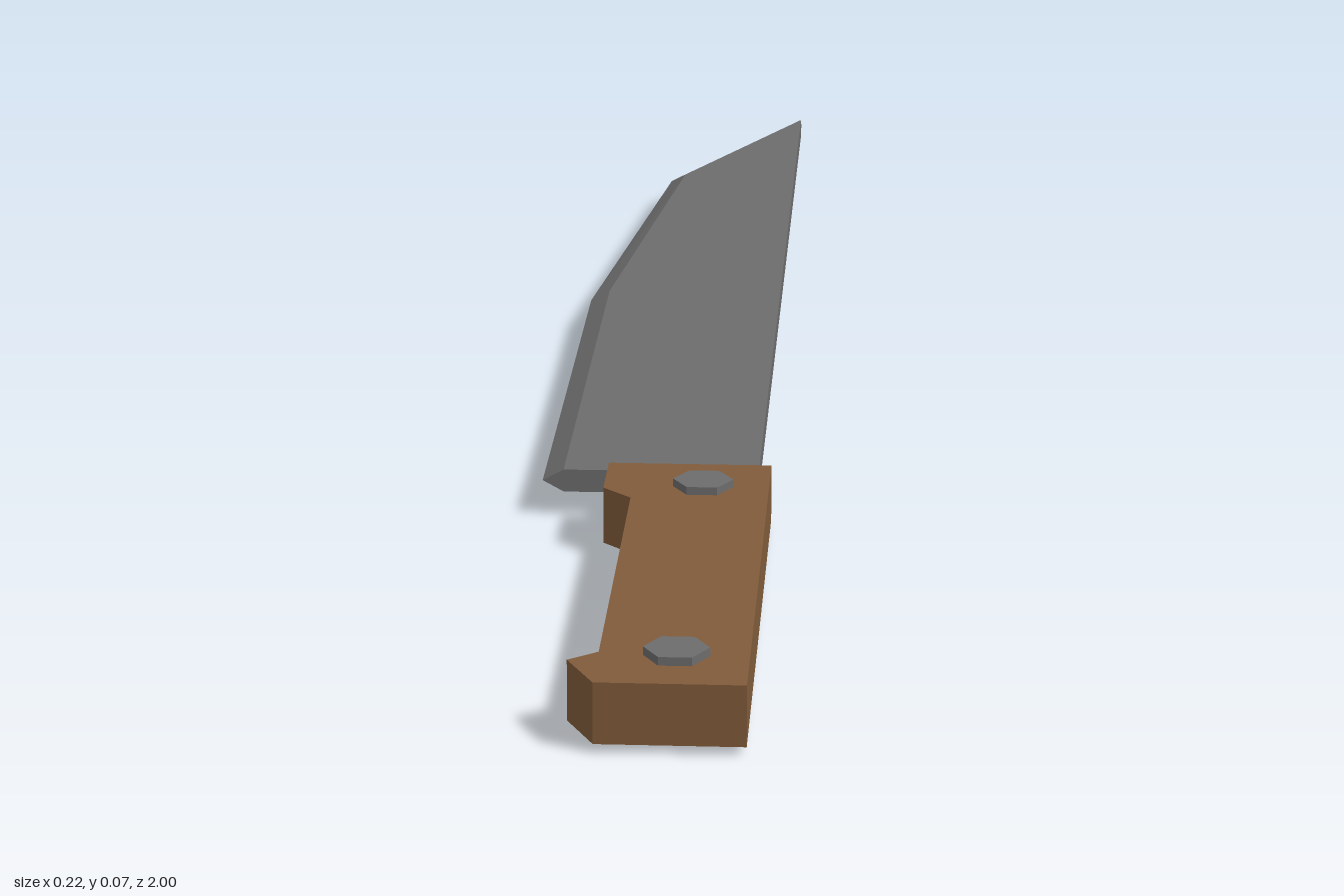
import * as THREE from 'three';

const MID = 0.035; // height of the knife's middle plane
const SPINE = 0.095;
const HALF = 0.011; // half the blade thickness

// Blade lofted from five-sided sections: cutting edge, bevel, flat, spine
function bladeGeometry() {
  // [edge x, edge z, bevel x, bevel z] from heel to tip
  const stations = [
    [-0.11, 0.41, -0.09, 0.41],
    [-0.11, -0.2, -0.09, -0.2],
    [-0.052, -0.715, -0.035, -0.705],
    [SPINE, -1, SPINE - 0.002, -0.98],
  ];
  const rings = stations.map(([ex, ez, bx, bz]) => [
    [ex, MID, ez],
    [bx, MID + HALF, bz],
    [SPINE, MID + HALF, bz],
    [SPINE, MID - HALF, bz],
    [bx, MID - HALF, bz],
  ]);
  const pos = [];
  const tri = (...pts) => pts.forEach((p) => pos.push(...p));
  for (let i = 0; i < rings.length - 1; i++) {
    for (let j = 0; j < 5; j++) {
      const k = (j + 1) % 5;
      const [a, b, c, d] = [rings[i][j], rings[i][k], rings[i + 1][k], rings[i + 1][j]];
      tri(a, b, c);
      tri(a, c, d);
    }
  }
  // Close the heel and the tip
  const heel = rings[0], tip = rings[rings.length - 1];
  for (let k = 1; k < 4; k++) {
    tri(heel[0], heel[k + 1], heel[k]);
    tri(tip[0], tip[k], tip[k + 1]);
  }
  const geo = new THREE.BufferGeometry();
  geo.setAttribute('position', new THREE.Float32BufferAttribute(pos, 3));
  geo.computeVertexNormals();
  return geo;
}

// Flat handle outline (x, z) extruded through its thickness
function handleGeometry() {
  const outline = [
    [-0.045, 0.435], [0.108, 0.435], [0.108, 1], [-0.018, 1],
    [-0.043, 0.95], [-0.018, 0.93], [-0.018, 0.535], [-0.045, 0.508],
  ].map(([x, z]) => new THREE.Vector2(x, z));
  const geo = new THREE.ExtrudeGeometry(new THREE.Shape(outline), { depth: 0.054, bevelEnabled: false });
  geo.rotateX(Math.PI / 2);
  geo.translate(0, MID + 0.027, 0);
  return geo;
}

export function createModel() {
  const steel = new THREE.MeshStandardMaterial({ color: 0x6c6c6c });
  steel.name = 'steel';
  const wood = new THREE.MeshStandardMaterial({ color: 0x805b3a });
  wood.name = 'wood';

  const model = new THREE.Group();
  model.name = 'knife';
  const add = (name, geo, mat, x = 0, y = 0, z = 0) => {
    const mesh = new THREE.Mesh(geo, mat);
    mesh.name = name;
    mesh.position.set(x, y, z);
    model.add(mesh);
  };

  add('blade', bladeGeometry(), steel);
  // Narrow neck running from the heel into the handle
  add('tang', new THREE.BoxGeometry(0.13, HALF * 2, 0.08), steel, 0.03, MID, 0.45);
  add('handle', handleGeometry(), wood);

  // Six-sided rivets standing proud on both faces
  const rivet = new THREE.CylinderGeometry(0.028, 0.028, 0.069, 6, 1, false, Math.PI / 2).toNonIndexed();
  rivet.computeVertexNormals();
  add('frontRivet', rivet, steel, 0.047, MID, 0.5);
  add('rearRivet', rivet, steel, 0.047, MID, 0.935);

  return model;
}
